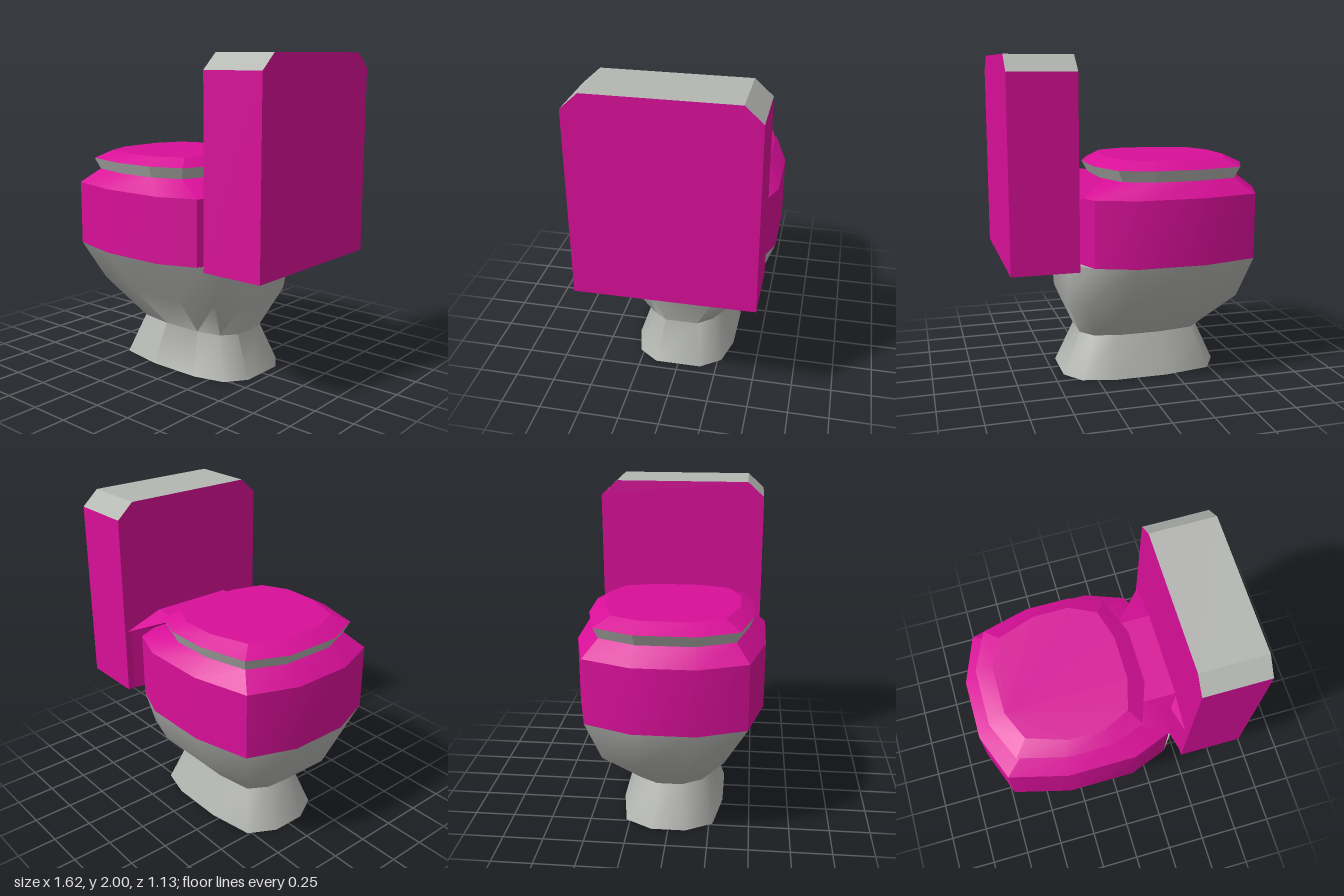
import * as THREE from 'three';
import { toCreasedNormals } from 'three/addons/utils/BufferGeometryUtils.js';

const pink = new THREE.MeshStandardMaterial({ color: 0xd80f98 });
pink.name = 'magenta';
const grey = new THREE.MeshStandardMaterial({ color: 0xb4b6b2 });
grey.name = 'grey';

// Mirrors half an outline (+z side, listed from -x to +x) into a closed ring
const mirror = (half) => [...half, ...half.map(([x, z]) => [x, -z]).reverse()];

// Unit outline of the bowl, fitted to an x range, a half depth and a z shift
const UNIT = [[-1, 0.33], [-0.82, 0.84], [-0.25, 1], [0.43, 1], [0.82, 0.84], [1, 0.45]];
function oval(x0, x1, depth, shift = 0) {
  const c = (x0 + x1) / 2, h = (x1 - x0) / 2;
  return mirror(UNIT).map(([x, z]) => [c + x * h, z * depth + shift]);
}

// Skins a stack of [y, ring] sections and closes both ends
function loft(name, sections, material, crease) {
  const n = sections[0][1].length, pos = [], idx = [];
  for (const [y, ring] of sections) for (const [x, z] of ring) pos.push(x, y, z);
  for (let s = 0; s < sections.length - 1; s++) {
    for (let i = 0; i < n; i++) {
      const a = s * n + i, b = s * n + (i + 1) % n;
      idx.push(a, b, b + n, a, b + n, a + n);
    }
  }
  const top = (sections.length - 1) * n;
  for (let i = 1; i < n - 1; i++) {
    idx.push(0, i + 1, i);
    idx.push(top, top + i, top + i + 1);
  }
  const g = new THREE.BufferGeometry();
  g.setAttribute('position', new THREE.Float32BufferAttribute(pos, 3));
  g.setIndex(idx);
  const mesh = new THREE.Mesh(toCreasedNormals(g, crease), material);
  mesh.name = name;
  return mesh;
}

// Cistern with chamfered upper edges; upward faces are grey, all others magenta
function cistern() {
  const w = 0.535, c = 0.43;
  const shape = new THREE.Shape([
    [-w, 0.765], [w, 0.765], [w, 1.905], [c, 2], [-c, 2], [-w, 1.905],
  ].map(([x, y]) => new THREE.Vector2(x, y)));
  const g = new THREE.ExtrudeGeometry(shape, { depth: 0.4, bevelEnabled: false });
  g.rotateY(Math.PI / 2);
  g.translate(0.41, 0, 0);
  g.clearGroups();
  const normal = g.attributes.normal;
  for (let i = 0; i < normal.count; i += 3) g.addGroup(i, 3, normal.getY(i) > 0.1 ? 1 : 0);
  const mesh = new THREE.Mesh(g, [pink, grey]);
  mesh.name = 'cistern';
  return mesh;
}

export function createModel() {
  const model = new THREE.Group();
  model.name = 'toilet';

  const rim = mirror([[-0.81, 0.185], [-0.7, 0.475], [-0.35, 0.565], [0.07, 0.565], [0.31, 0.475], [0.37, 0.33]]);
  const seat = mirror([[-0.725, 0.18], [-0.62, 0.42], [-0.33, 0.495], [-0.05, 0.495], [0.15, 0.42], [0.24, 0.17]]);
  const lidTop = mirror([[-0.62, 0.15], [-0.54, 0.33], [-0.3, 0.41], [-0.08, 0.41], [0.085, 0.33], [0.14, 0.14]]);
  const seatBase = seat.map(([x, z]) => [-0.243 + (x + 0.243) * 0.925, z * 0.94]);

  // Pedestal and lower bowl
  const bowlTop = rim.map(([x, z]) => [x > 0.35 ? 0.425 : x, z]);
  model.add(loft('bowl', [
    [0, oval(-0.58, 0.44, 0.325)],
    [0.26, oval(-0.465, 0.325, 0.235)],
    [0.51, oval(-0.73, 0.435, 0.435, -0.025)],
    [0.765, bowlTop],
  ], grey, 0.95));

  // Magenta band and sloping rim
  model.add(loft('rimBand', [[0.765, rim], [1.17, rim], [1.26, seatBase]], pink, 0.5));

  // Flared bridge between rim and cistern
  const bridge = mirror([[0.37, 0.33], [0.42, 0.53]]);
  model.add(loft('bridge', [
    [0.765, bridge], [1.17, bridge], [1.262, mirror([[0.2, 0.27], [0.42, 0.27]])],
  ], pink, 0.1));

  // Seat and lid
  model.add(loft('seat', [[1.26, seatBase], [1.33, seat]], grey, 0.3));
  model.add(loft('lid', [[1.33, seat], [1.38, lidTop]], pink, 0.3));

  model.add(cistern());
  return model;
}
